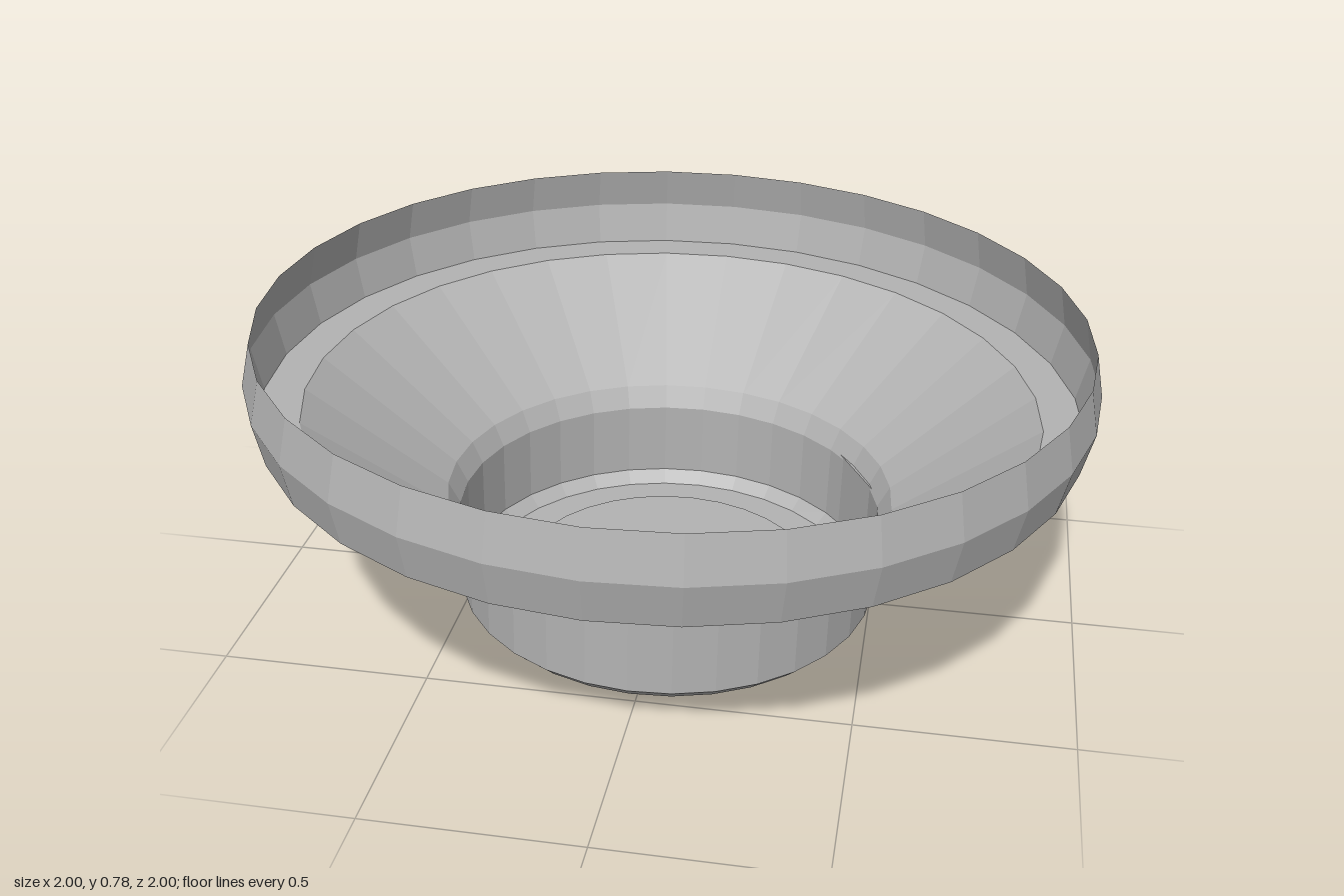
import * as THREE from 'three';

const SIDES = 32;

export function createModel() {
  const model = new THREE.Group();
  model.name = 'speakerFrame';
  const grey = new THREE.MeshStandardMaterial({ color: 0xb3b3b3, flatShading: true, side: THREE.DoubleSide });
  grey.name = 'grey metal';

  // The whole frame leans slightly toward +x
  const body = new THREE.Group();
  body.name = 'tiltedBody';
  const pivot = 0.65;
  body.position.y = pivot;
  body.rotation.z = -0.024;
  model.add(body);

  // Thin sheet turned around the axis; points are [radius, height]
  function ring(name, points) {
    const profile = points.map(([r, y]) => new THREE.Vector2(r, y - pivot));
    const mesh = new THREE.Mesh(new THREE.LatheGeometry(profile, SIDES), grey);
    mesh.name = name;
    body.add(mesh);
  }

  ring('bottomPlate', [[0, 0.036], [0.38, 0.036], [0.4, 0.013], [0.49, 0.013]]);
  ring('bottomChamfer', [[0.49, 0.013], [0.52, 0.043]]);
  ring('magnetHousing', [[0.52, 0.043], [0.52, 0.237]]);
  ring('neck', [[0.52, 0.237], [0.548, 0.292]]);
  ring('cone', [[0.548, 0.292], [0.88, 0.547]]);
  ring('flange', [[0.88, 0.547], [0.976, 0.547]]);
  ring('rim', [[0.976, 0.547], [0.999, 0.652], [0.976, 0.757]]);

  // Terminal tab: a box that tapers toward its outer end
  const tabGeometry = new THREE.BoxGeometry(1, 1, 1);
  const p = tabGeometry.attributes.position;
  for (let i = 0; i < p.count; i++) {
    const outer = p.getX(i) > 0;
    const height = outer ? 0.077 : 0.194;
    const width = outer ? 0.086 : 0.208;
    p.setXYZ(i, outer ? 0.765 : 0.512, 0.146 - pivot + p.getY(i) * height, p.getZ(i) * width);
  }
  tabGeometry.computeVertexNormals();
  const tab = new THREE.Mesh(tabGeometry, grey);
  tab.name = 'terminalTab';
  tab.rotation.y = Math.PI / 6;
  body.add(tab);

  return model;
}
